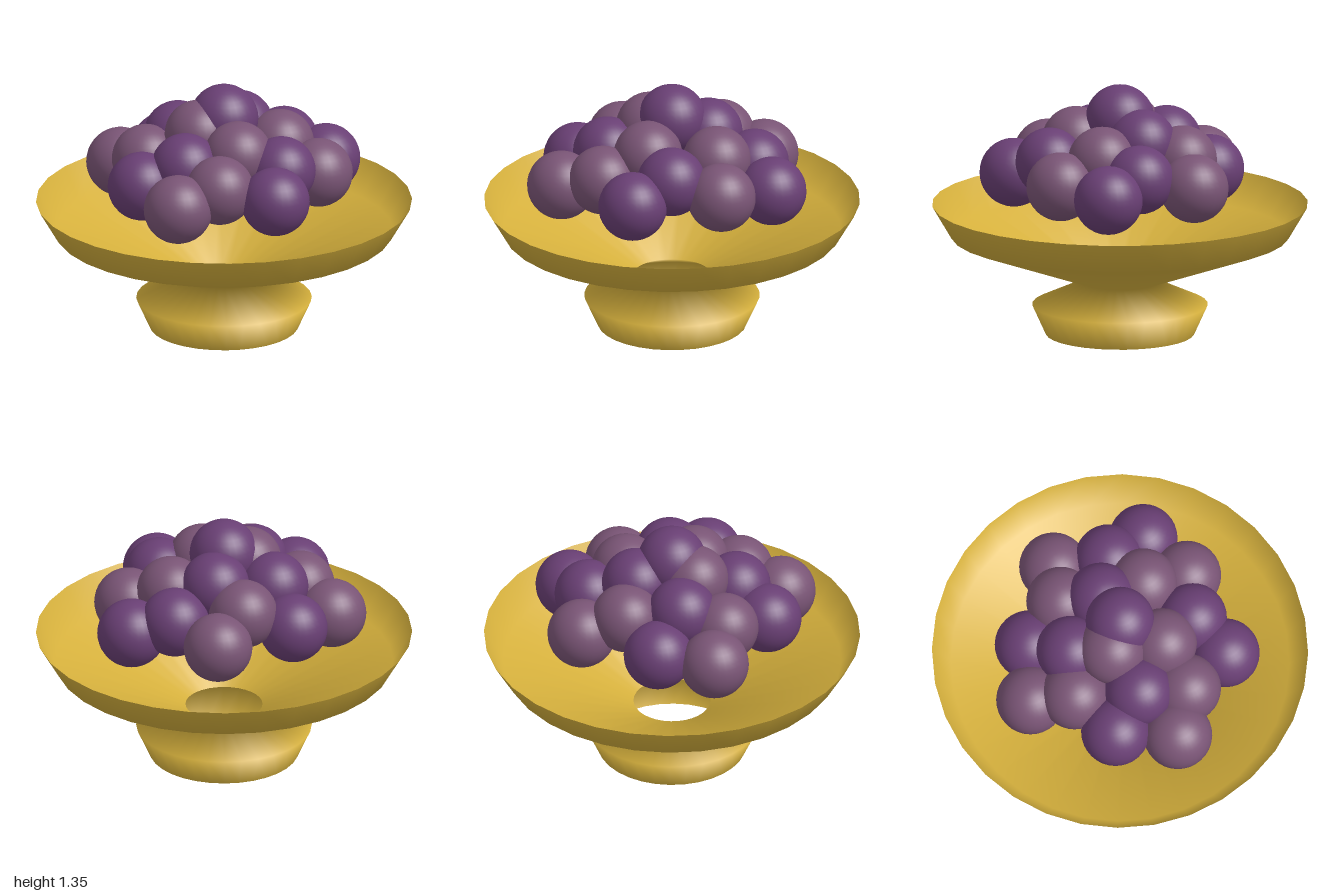
import * as THREE from 'three';

export function createModel() {
  const model = new THREE.Group();
  model.name = 'fruitBowl';

  const gold = new THREE.MeshStandardMaterial({ color: 0xd4af3c, side: THREE.DoubleSide });
  gold.name = 'gold';
  const darkPurple = new THREE.MeshStandardMaterial({ color: 0x693f74 });
  darkPurple.name = 'dark purple';
  const lightPurple = new THREE.MeshStandardMaterial({ color: 0x795475 });
  lightPurple.name = 'light purple';

  // Thin open shell: flared foot, narrow neck and wide dish in one sweep
  const profile = [[0.395, 0], [0.467, 0.16], [0.205, 0.28], [0.9, 0.535], [1, 0.706]]
    .map(([r, y]) => new THREE.Vector2(r, y));
  const bowl = new THREE.Mesh(new THREE.LatheGeometry(profile, 32), gold);
  bowl.name = 'pedestalBowl';
  model.add(bowl);

  // Heaped grapes: centre positions for each colour
  const darkGrapes = [
    [0.42, 0.86, -0.42], [0.43, 0.875, 0.365], [-0.305, 0.89, 0.425], [-0.42, 0.88, -0.24],
    [0.19, 0.935, -0.4], [0.375, 0.965, 0.13], [-0.095, 0.99, 0.33], [-0.28, 1.025, -0.05],
    [0.01, 1.07, -0.2], [0, 1.17, 0],
  ];
  const lightGrapes = [
    [-0.07, 0.875, -0.54], [0.495, 0.89, -0.11], [-0.03, 0.855, 0.61], [-0.58, 0.86, 0.02],
    [-0.165, 0.98, -0.325], [0.255, 1.005, -0.165], [0.14, 0.925, 0.435], [-0.385, 0.945, 0.15],
    [-0.11, 1.095, 0.085], [0.15, 1.04, 0.185],
  ];
  const grapes = new THREE.Group();
  grapes.name = 'grapes';
  const grapeGeometry = new THREE.SphereGeometry(0.183, 32, 20);
  const addGrapes = (centres, material, name) => centres.forEach((centre, i) => {
    const grape = new THREE.Mesh(grapeGeometry, material);
    grape.name = name + (i + 1);
    grape.position.set(...centre);
    grapes.add(grape);
  });
  addGrapes(darkGrapes, darkPurple, 'darkGrape');
  addGrapes(lightGrapes, lightPurple, 'lightGrape');
  model.add(grapes);

  return model;
}
